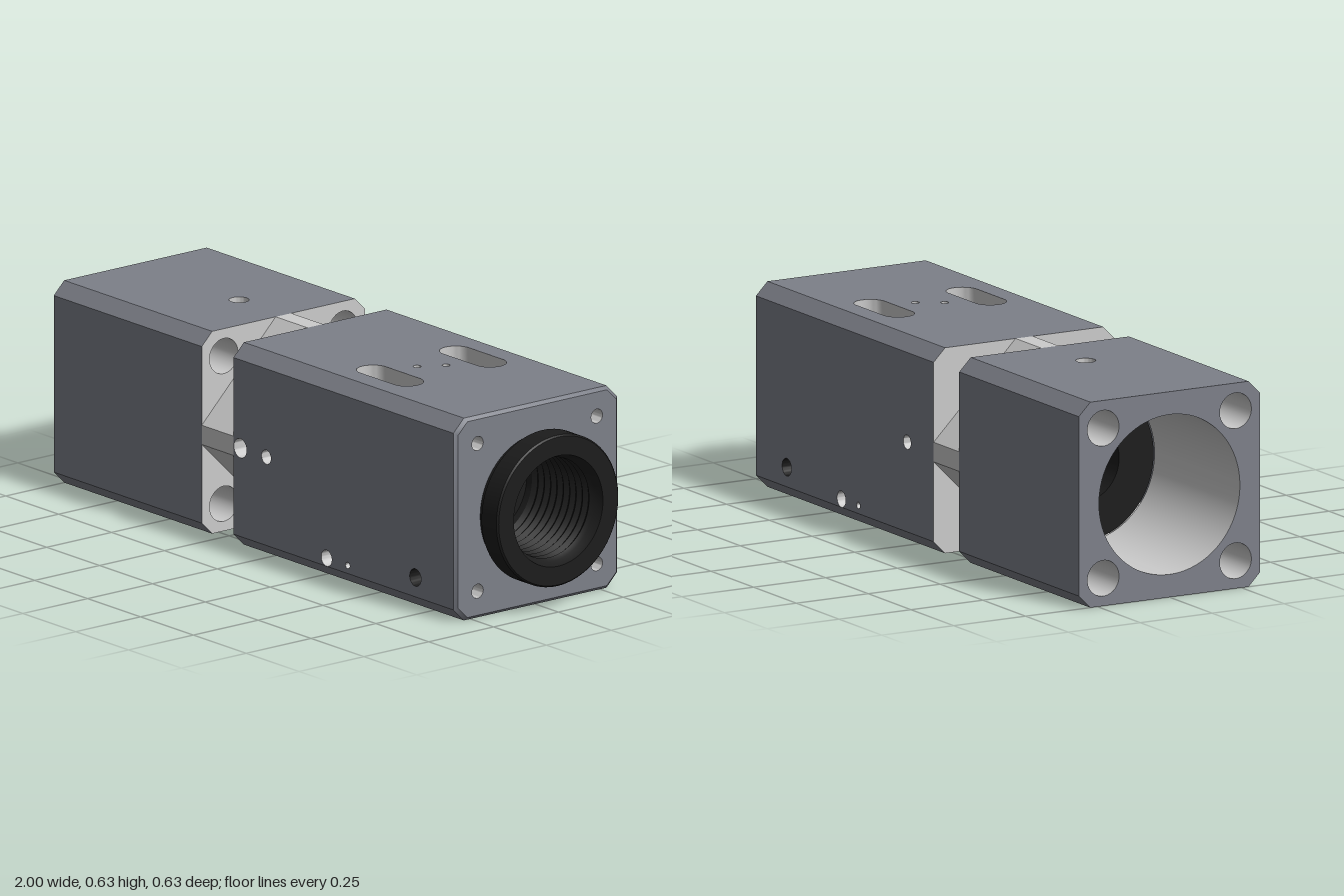
import * as THREE from 'three';
import { toCreasedNormals } from 'three/addons/utils/BufferGeometryUtils.js';

const paint = (color) => new THREE.MeshStandardMaterial({ color, side: THREE.DoubleSide });
const BODY = paint(0x7d8089), BARE = paint(0xcccccc), BLACK = paint(0x1c1c1c);
const H = 0.315, CH = 0.04; // half width and corner chamfer of the block
const X0 = -1, N0 = -0.3, N1 = -0.15, X1 = 0.9, BEVEL = 0.01;

function mesh(name, geometry, material) {
  const m = new THREE.Mesh(geometry, material);
  m.name = name;
  return m;
}

// Band of quads joining two outlines at two depths
function strip(a, za, b, zb) {
  const v = [];
  a.forEach((p, i) => {
    const j = (i + 1) % a.length;
    const A = [p.x, p.y, za], B = [b[i].x, b[i].y, zb];
    const C = [b[j].x, b[j].y, zb], D = [a[j].x, a[j].y, za];
    v.push(...A, ...B, ...C, ...A, ...C, ...D);
  });
  const g = new THREE.BufferGeometry();
  g.setAttribute('position', new THREE.Float32BufferAttribute(v, 3));
  return toCreasedNormals(g, 0.6);
}

// Circle, or a slot when half > 0
function round({ x, t, r, half = 0 }) {
  const n = r > 0.1 ? 96 : 32;
  return Array.from({ length: n }, (_, i) => {
    const a = ((i + 0.5) / n) * Math.PI * 2;
    return new THREE.Vector2(x + Math.sign(Math.cos(a)) * half + r * Math.cos(a), t + r * Math.sin(a));
  });
}

const rect = (x0, x1, t) => [[x0, -t], [x1, -t], [x1, t], [x0, t]].map((p) => new THREE.Vector2(...p));

function octagon(h, c) {
  const k = h - c;
  return [[h, -k], [h, k], [k, h], [-k, h], [-h, k], [-h, -k], [-k, -h], [k, -h]]
    .map((p) => new THREE.Vector2(...p));
}

// Flat face with drilled holes; a hole may have a floor, itself drilled
function plate(name, outline, holes = [], material = BODY) {
  const g = new THREE.Group();
  g.name = name;
  const shape = new THREE.Shape(outline);
  for (const hole of holes) {
    const pts = round(hole), { depth = 0, mat = BARE } = hole;
    shape.holes.push(new THREE.Path(pts));
    if (depth) g.add(mesh('holeWall', strip(pts, -depth, pts, 0), mat));
    if (hole.floor) {
      const floor = plate('holeFloor', pts, hole.floor, mat);
      floor.position.z = -depth;
      g.add(floor);
    }
  }
  g.add(mesh(name + 'Surface', new THREE.ShapeGeometry(shape), material));
  return g;
}

// Four faces and four corner chamfers around the x axis
function prism(name, x0, x1, c, material, holes = {}) {
  const g = new THREE.Group();
  g.name = name;
  const sides = ['front', 'top', 'back', 'bottom'];
  for (let i = 0; i < 8; i++) {
    const corner = i % 2 === 1;
    const side = corner ? 'chamfer' : sides[i / 2];
    const halfWidth = corner ? c / Math.SQRT2 : H - c;
    const p = plate(side, rect(x0, x1, halfWidth), holes[side], material);
    p.children.forEach((m) => { m.position.z += corner ? (2 * H - c) / Math.SQRT2 : H; });
    p.rotation.x = (-i * Math.PI) / 4;
    g.add(p);
  }
  return g;
}

function endFace(p, x, dir) {
  p.rotation.y = (dir * Math.PI) / 2;
  p.position.x = x;
  return p;
}

// Profile of [radius, x] pairs turned about the x axis
function turned(name, profile, material) {
  const g = new THREE.LatheGeometry(profile.map((p) => new THREE.Vector2(...p)), 96);
  g.rotateZ(-Math.PI / 2);
  return mesh(name, toCreasedNormals(g, 0.5), material);
}

const corners = (r, depth, extra) =>
  [[1, 1], [1, -1], [-1, 1], [-1, -1]].map(([a, b]) => ({ x: a * 0.23, t: b * 0.23, r, depth, ...extra }));

export function createModel() {
  const root = new THREE.Group();
  root.name = 'housing';
  const body = new THREE.Group();
  body.name = 'body';
  body.position.y = H;
  root.add(body);

  // Rear block with its vent holes
  const vent = [{ x: -0.51, t: 0, r: 0.03, depth: 0.071 }];
  body.add(prism('rearBlock', X0, N0, CH, BODY, { top: vent, bottom: vent }));

  // Front block: slots, pin holes and set screws
  const blind = (x, r) => ({ x, t: 0, r, depth: 0.1, floor: [] });
  const screw = (t) => ({ x: 0.71, t, r: 0.027, depth: 0.07, floor: [], mat: BLACK });
  const pinBore = (x, t, depth) => ({ x, t, r: 0.01, depth });
  const holes = {
    front: [
      blind(-0.118, 0.03), blind(0.005, 0.022), screw(-0.215), pinBore(0.39, -0.25, 0.58),
      { x: 0.29, t: -0.25, r: 0.025, depth: 0.05, floor: [pinBore(0.29, -0.25, 0.58)] },
    ],
    back: [
      blind(0.005, 0.022), screw(0.215), pinBore(0.29, 0.25, 0),
      { x: 0.39, t: 0.25, r: 0.025, depth: 0.05, floor: [pinBore(0.39, 0.25, 0)] },
    ],
    top: [{ x: 0.42, t: 0.04, r: 0.012, depth: 0.1 }, { x: 0.375, t: -0.035, r: 0.012, depth: 0.1 }],
    bottom: [{ x: 0.42, t: -0.04, r: 0.012, depth: 0.1 }, { x: 0.375, t: 0.035, r: 0.012, depth: 0.1 }],
  };
  for (const t of [-0.16, 0.16]) {
    const through = { x: 0.4, t, r: 0.05, depth: 0.1 };
    holes.top.push({ x: 0.4, t, r: 0.05, half: 0.08, depth: 0.06, floor: [through] });
    holes.bottom.push(through);
  }
  body.add(prism('frontBlock', N1, X1 - BEVEL, CH, BODY, holes));

  // Diamond waist between the blocks
  body.add(prism('waist', N0, N1, H - 0.03, BARE));

  // End faces
  const full = octagon(H, CH), core = { x: 0, t: 0, r: 0.242 };
  const rear = [{ ...core, r: 0.245, depth: 0.5 }, ...corners(0.055, 0.7)];
  body.add(endFace(plate('rearFace', full, rear), X0, -1));
  body.add(endFace(plate('rearWaistFace', full, [core, ...corners(0.055, 0)], BARE), N0, 1));
  body.add(endFace(plate('frontWaistFace', full, [core], BARE), N1, -1));
  const capOutline = octagon(H - BEVEL, CH - 0.004);
  const cap = plate('frontFace', capOutline, [{ ...core, r: 0.22 }, ...corners(0.022, 0.15, { floor: [] })]);
  cap.add(mesh('frontBevel', strip(capOutline, 0, full, -BEVEL), BODY));
  body.add(endFace(cap, X1, 1));

  // Inner tube seated at the bottom of the rear bore
  body.add(turned('innerTube',
    [[0.122, -0.5], [0.242, -0.5], [0.242, 0.2], [0.122, 0.2], [0.122, -0.5]], BLACK));

  // Threaded mounting ring at the front
  const thread = [];
  for (let i = 0; i < 10; i++) thread.push([0.165, 0.97 - i * 0.03], [0.155, 0.955 - i * 0.03]);
  body.add(turned('mountRing', [
    [0.122, 0.62], [0.22, 0.62], [0.22, 0.915], [0.23, 0.92], [0.235, 0.925], [0.235, 0.995], [0.23, 1],
    [0.172, 1], ...thread, [0.155, 0.66], [0.122, 0.66], [0.122, 0.62],
  ], BLACK));
  return root;
}
